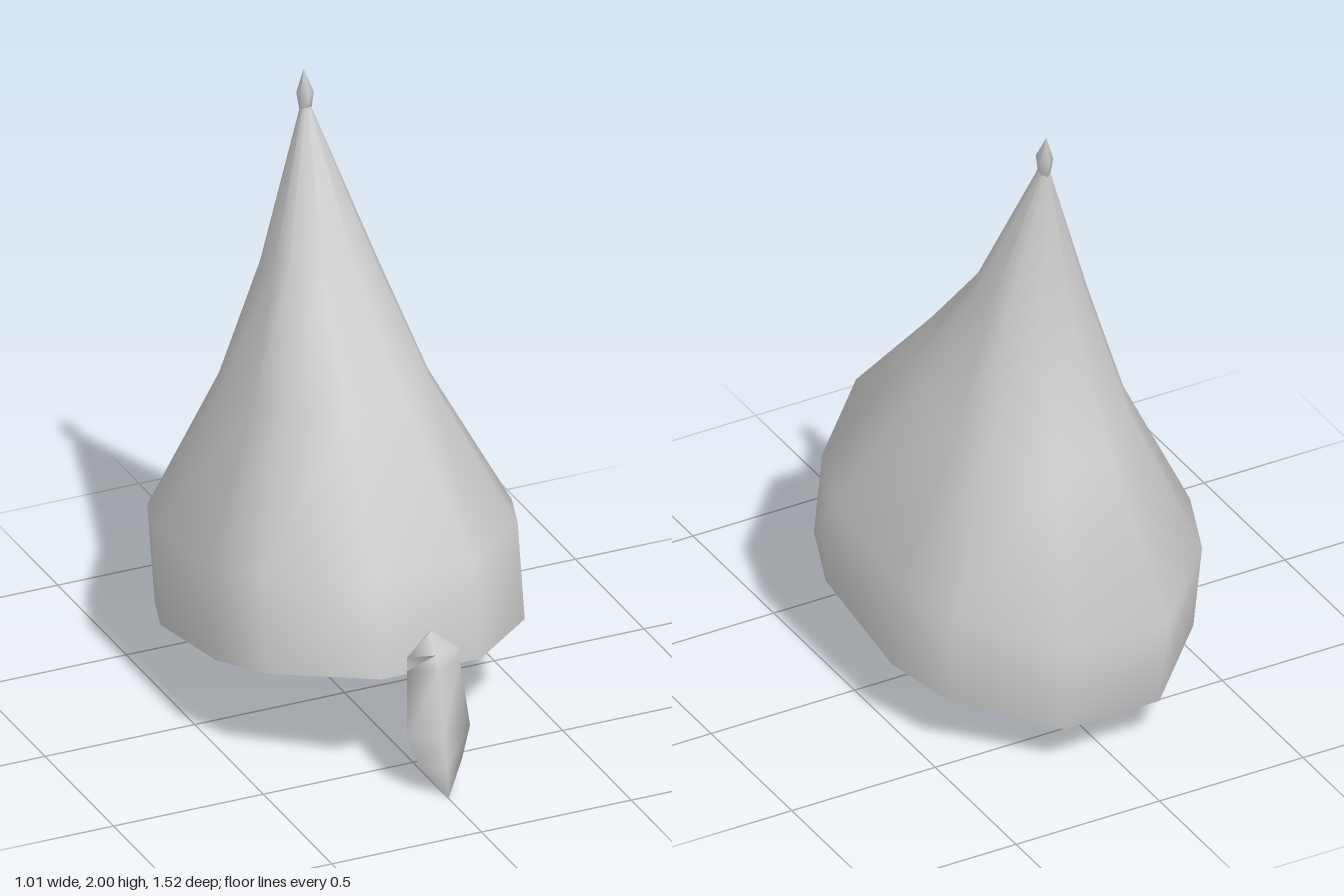
import * as THREE from 'three';

// Skin a stack of closed rings (bottom to top, each ring front -> +x -> back -> -x).
function loft(name, rings) {
  const n = rings[0].length;
  const index = [];
  for (let r = 0; r < rings.length - 1; r++) {
    for (let i = 0; i < n; i++) {
      const a = r * n + i;
      const b = r * n + (i + 1) % n;
      index.push(a, b, b + n, a, b + n, a + n);
    }
  }
  const geometry = new THREE.BufferGeometry();
  geometry.setAttribute('position', new THREE.Float32BufferAttribute(rings.flat(2), 3));
  geometry.setIndex(index);
  geometry.computeVertexNormals();
  const material = new THREE.MeshStandardMaterial({ color: 0xcccccc, side: THREE.DoubleSide });
  const mesh = new THREE.Mesh(geometry, material);
  mesh.name = name;
  return mesh;
}

// Place a unit outline on a ring tilted from its front point (zf, yf) to its back point (zb, yb).
function tiltedRing(outline, [halfWidth, zf, yf, zb, yb]) {
  return outline.map(([u, v]) => {
    const t = (1 - v) / 2;
    return [u * halfWidth, THREE.MathUtils.lerp(yf, yb, t), THREE.MathUtils.lerp(zf, zb, t)];
  });
}

export function createModel() {
  const group = new THREE.Group();
  group.name = 'pointedHelmet';

  // Twelve-sided outline, mirrored from its left half.
  const half = [[0.327, 1], [0.85, 0.615], [1, 0.305], [1, -0.305], [0.85, -0.615], [0.327, -1]];
  const twelve = [...half, ...half.map(([u, v]) => [-u, v]).reverse()];

  // Open bowl: upright rim band, then a cone leaning back to the tip.
  const shell = [
    [0.505, 0.635, 0.39, -0.705, 0.15],
    [0.505, 0.585, 0.695, -0.76, 0.46],
    [0.29, 0.24, 1.09, -0.525, 0.95],
    [0.172, -0.03, 1.415, -0.36, 1.37],
    [0.016, -0.265, 1.885, -0.305, 1.87],
  ];
  group.add(loft('helmetShell', shell.map((r) => tiltedRing(twelve, r))));

  // Small pointed finial on the tip.
  const six = Array.from({ length: 6 }, (_, i) => {
    const a = (i * Math.PI) / 3;
    return [Math.sin(a) * 1.15, Math.cos(a)];
  });
  const finial = [
    [0.001, -0.284, 1.865, -0.286, 1.865],
    [0.015, -0.265, 1.875, -0.305, 1.86],
    [0.022, -0.256, 1.935, -0.32, 1.92],
    [0.001, -0.297, 2.0, -0.299, 2.0],
  ];
  group.add(loft('finial', finial.map((r) => tiltedRing(six, r))));

  // Nose guard: thin blade with a forward ridge; rows are y, half width, front z, back z.
  const guard = [
    [0.005, 0, 0.76, 0.722],
    [0.1, 0.07, 0.749, 0.705],
    [0.2, 0.105, 0.729, 0.687],
    [0.41, 0.088, 0.688, 0.65],
    [0.45, 0.085, 0.665, 0.642],
    [0.518, 0, 0.632, 0.627],
  ];
  group.add(loft('noseGuard', guard.map(([y, w, zf, zb]) =>
    [[0, y, zf], [w, y, zb], [0, y, zb], [-w, y, zb]])));

  return group;
}
